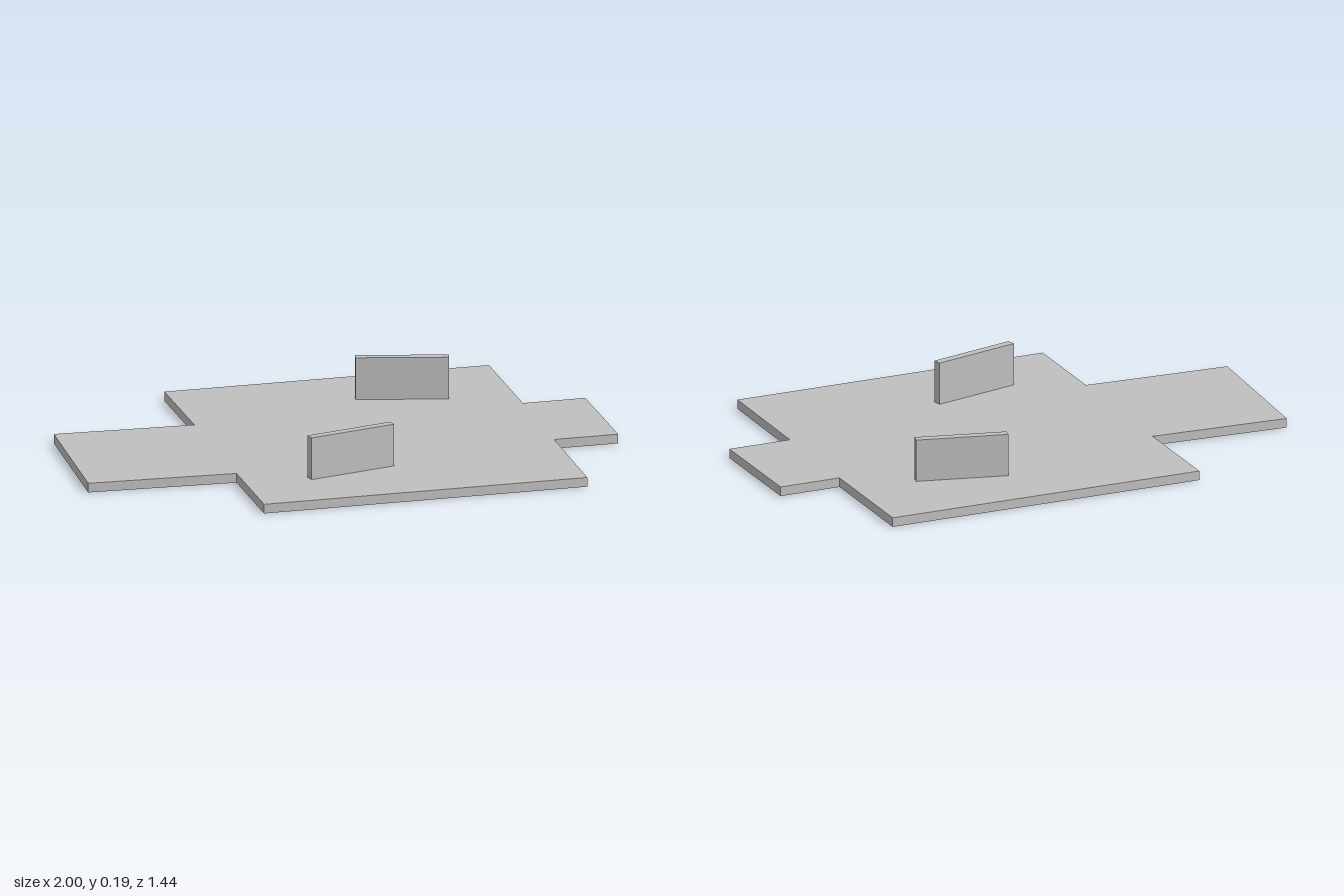
import * as THREE from 'three';

const SLAB = 0.035; // slab thickness
const TOP = 0.194; // top of the upright panels

export function createModel() {
  const model = new THREE.Group();
  model.name = 'slabWithPanels';
  const grey = new THREE.MeshStandardMaterial({ color: 0xbfbfbf });
  grey.name = 'light grey';

  // Stepped floor slab: outline as (x, z), extruded and laid flat
  const outline = [
    [-1, -0.253], [-0.479, -0.253], [-0.503, -0.658], [0.713, -0.718],
    [0.739, -0.253], [0.973, -0.266], [1, 0.178], [0.76, 0.19],
    [0.783, 0.654], [-0.429, 0.718], [-0.45, 0.341], [-1, 0.341],
  ].map(([x, z]) => new THREE.Vector2(x, z));
  const slabGeometry = new THREE.ExtrudeGeometry(new THREE.Shape(outline), {
    depth: SLAB, bevelEnabled: false,
  });
  slabGeometry.rotateX(Math.PI / 2).translate(0, SLAB, 0);
  const slab = new THREE.Mesh(slabGeometry, grey);
  slab.name = 'floorSlab';
  model.add(slab);

  // Upright panels, each turned a little about y
  const addPanel = (name, x, z, angle) => {
    const height = TOP - SLAB;
    const panel = new THREE.Mesh(new THREE.BoxGeometry(0.34, height, 0.032), grey);
    panel.name = name;
    panel.position.set(x, SLAB + height / 2, z);
    panel.rotation.y = angle;
    model.add(panel);
  };
  addPanel('backPanel', 0.324, -0.405, -0.19);
  addPanel('frontPanel', -0.041, 0.406, 0.285);

  return model;
}
